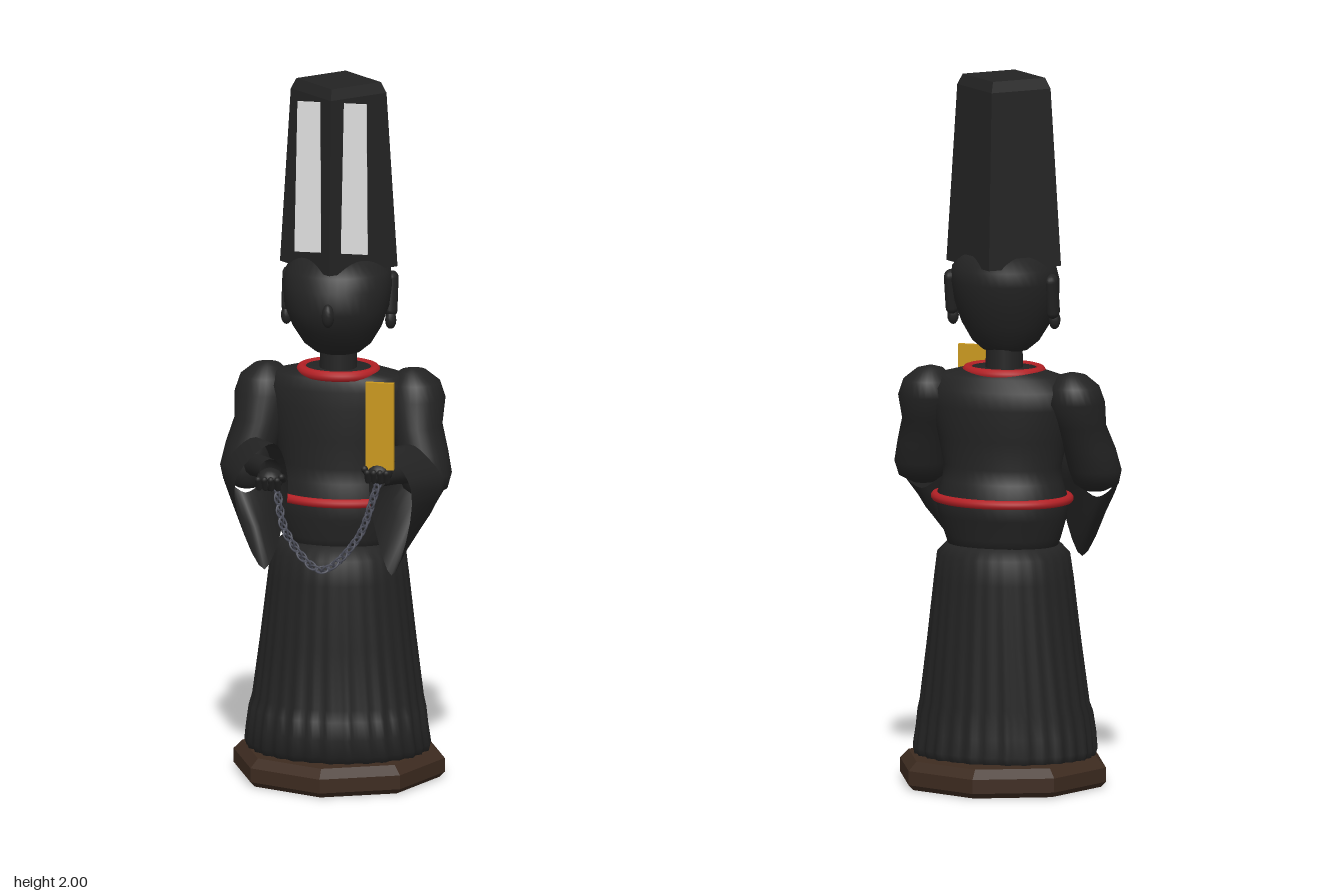
import * as THREE from 'three';

const paint = (name, color, side = THREE.FrontSide) => {
  const m = new THREE.MeshStandardMaterial({ color, side });
  m.name = name;
  return m;
};

// Skin a list of closed loops of points; optionally close both ends.
function loft(rings, caps = true) {
  const n = rings[0].length, pos = [], idx = [];
  rings.forEach(r => r.forEach(p => pos.push(p.x, p.y, p.z)));
  for (let i = 0; i < rings.length - 1; i++) {
    for (let j = 0; j < n; j++) {
      const a = i * n + j, b = i * n + (j + 1) % n;
      idx.push(a, b, a + n, b, b + n, a + n);
    }
  }
  if (caps) {
    [0, rings.length - 1].forEach((k, end) => {
      const c = new THREE.Vector3();
      rings[k].forEach(p => c.addScaledVector(p, 1 / n));
      const ci = pos.length / 3;
      pos.push(c.x, c.y, c.z);
      for (let j = 0; j < n; j++) {
        const a = k * n + j, b = k * n + (j + 1) % n;
        end ? idx.push(ci, a, b) : idx.push(ci, b, a);
      }
    });
  }
  const g = new THREE.BufferGeometry();
  g.setAttribute('position', new THREE.Float32BufferAttribute(pos, 3));
  g.setIndex(idx);
  g.computeVertexNormals();
  return g;
}

// Horizontal ellipse sections [y, rx, rz, centreZ, centreX], with optional pleats.
function body(sections, n = 40, pleat = () => 0) {
  return loft(sections.map(([y, rx, rz, cz = 0, cx = 0]) =>
    Array.from({ length: n }, (_, j) => {
      const a = j / n * Math.PI * 2, d = pleat(a, y);
      return new THREE.Vector3(cx + (rx + d) * Math.sin(a), y, cz + (rz + d) * Math.cos(a));
    })));
}

function faceted(g) {
  const f = g.toNonIndexed();
  f.computeVertexNormals();
  return f;
}

export function createModel() {
  const black = paint('black cloth', 0x232323, THREE.DoubleSide);
  const red = paint('red trim', 0xb22025);
  const brown = paint('brown base', 0x3d2b20);
  const gold = paint('gold', 0xc9981e);
  const white = paint('white panel', 0xdadada, THREE.DoubleSide);
  const steel = paint('chain steel', 0x4c4e5a);

  const model = new THREE.Group();
  const add = (name, geo, mat, parent = model) => {
    const m = new THREE.Mesh(geo, mat);
    m.name = name;
    parent.add(m);
    return m;
  };

  // Octagonal base
  add('base', faceted(body([[0, 0.285, 0.285], [0.015, 0.3, 0.3], [0.055, 0.3, 0.3], [0.08, 0.275, 0.275]], 8)), brown);

  // Pleated skirt with a gathered hem
  add('skirt', body([
    [0.07, 0.25, 0.2, 0.01], [0.1, 0.258, 0.212, 0.017], [0.15, 0.252, 0.211, 0.024], [0.2, 0.246, 0.203, 0.02],
    [0.23, 0.238, 0.193, 0.013], [0.4, 0.217, 0.182, 0.01], [0.58, 0.197, 0.171, 0.008],
    [0.65, 0.188, 0.163, 0.005], [0.675, 0.165, 0.14, 0.005], [0.69, 0.12, 0.1, 0.005],
  ], 144, (a, y) => (0.0055 * Math.sin(a * 30) + 0.002 * Math.sin(a * 13)) * Math.max(0, 1 - y / 0.7)), black);

  // Torso, nipped above the waist
  add('torso', body([
    [0.66, 0.15, 0.12, 0], [0.7, 0.165, 0.125, 0], [0.76, 0.183, 0.14, -0.005], [0.81, 0.188, 0.147, -0.01],
    [0.86, 0.172, 0.122, -0.005], [0.9, 0.168, 0.112, -0.005], [0.98, 0.185, 0.115, -0.005],
    [1.07, 0.205, 0.117, -0.012], [1.12, 0.21, 0.11, -0.01], [1.155, 0.18, 0.095, -0.002], [1.175, 0.1, 0.075, 0.005],
  ]), black);

  // Red belt and collar
  const hoop = (name, y, rx, rz, cz, t) => {
    const pts = Array.from({ length: 24 }, (_, i) => {
      const a = i / 24 * Math.PI * 2;
      return new THREE.Vector3(rx * Math.cos(a), y, cz + rz * Math.sin(a));
    });
    add(name, new THREE.TubeGeometry(new THREE.CatmullRomCurve3(pts, true), 72, t, 10, true), red);
  };
  hoop('belt', 0.81, 0.19, 0.145, -0.008, 0.013);
  hoop('collar', 1.166, 0.103, 0.085, 0.01, 0.015);

  // Neck and head
  add('neck', new THREE.CylinderGeometry(0.05, 0.054, 0.13, 24), black).position.set(0, 1.195, 0.012);
  add('head', body([
    [1.215, 0.03, 0.03, 0.02], [1.225, 0.065, 0.055, 0.022], [1.25, 0.095, 0.083, 0.025], [1.3, 0.125, 0.115, 0.03],
    [1.36, 0.147, 0.143, 0.034], [1.42, 0.153, 0.143, 0.02], [1.46, 0.147, 0.133, 0.01], [1.5, 0.115, 0.105, 0.005],
  ]), black);
  const nose = add('nose', new THREE.SphereGeometry(1, 14, 10), black);
  nose.scale.set(0.018, 0.034, 0.022);
  nose.position.set(0, 1.36, 0.17);

  // Tall four-sided hat with two front panels
  add('hat', faceted(body([
    [1.47, 0.167, 0.145, 0.006], [1.97, 0.136, 0.12, 0.008], [2, 0.12, 0.106, 0.008],
  ], 4)), black);
  for (const s of [-1, 1]) {
    const panel = new THREE.BoxGeometry(0.07, 0.43, 0.006);
    const p = panel.attributes.position;
    for (let i = 0; i < p.count; i++) p.setX(i, p.getX(i) * (1 - p.getY(i) * 0.4));
    panel.computeVertexNormals();
    const m = add('hatPanel', panel, white);
    m.position.set(s * 0.066, 1.745, 0.115);
    m.rotation.x = -0.035;
  }

  // One ear, arm, sleeve and hand for each side
  const v = (x, y, z) => new THREE.Vector3(x, y, z);
  for (const s of [1, -1]) {
    const side = new THREE.Group();
    side.name = s > 0 ? 'leftSide' : 'rightSide';
    model.add(side);
    // Mirrored loops keep their winding by reversing the point order.
    const mirror = rings => rings.map(r => {
      const q = r.map(p => v(p.x * s, p.y, p.z));
      return s > 0 ? q : q.reverse();
    });

    const ear = add('ear', new THREE.CapsuleGeometry(0.02, 0.09, 6, 12), black, side);
    ear.scale.set(0.9, 1, 1.3);
    ear.position.set(s * 0.147, 1.385, -0.012);
    ear.rotation.x = -0.2;
    const lobe = add('earLobe', new THREE.SphereGeometry(0.02, 12, 8), black, side);
    lobe.scale.set(0.8, 1.3, 1);
    lobe.position.set(s * 0.148, 1.315, 0.008);

    add('upperArm', body([
      [0.83, 0.03, 0.03, 0.06, s * 0.25], [0.85, 0.063, 0.06, 0.055, s * 0.255], [0.89, 0.074, 0.075, 0.048, s * 0.254],
      [0.95, 0.073, 0.076, 0.035, s * 0.242], [1.02, 0.072, 0.077, 0.01, s * 0.222], [1.09, 0.083, 0.085, -0.015, s * 0.215],
      [1.135, 0.07, 0.07, -0.017, s * 0.213], [1.165, 0.038, 0.04, -0.016, s * 0.208], [1.173, 0.01, 0.01, -0.016, s * 0.206],
    ], 28), black, side);

    // Bell sleeve: top, outer, bottom and inner points of each section
    const bell = [
      [v(0.25, 0.96, 0.03), v(0.325, 0.88, 0.045), v(0.255, 0.81, 0.06), v(0.19, 0.88, 0.05)],
      [v(0.215, 0.985, 0.11), v(0.31, 0.88, 0.105), v(0.22, 0.72, 0.1), v(0.155, 0.87, 0.1)],
      [v(0.15, 0.99, 0.19), v(0.25, 0.89, 0.245), v(0.18, 0.62, 0.17), v(0.115, 0.86, 0.16)],
    ].map(k => new THREE.CatmullRomCurve3(k, true).getPoints(24).slice(0, 24));
    add('sleeve', loft(mirror(bell), false), black, side);

    const forearm = new THREE.CatmullRomCurve3([v(s * 0.25, 0.89, 0.05), v(s * 0.2, 0.91, 0.14), v(s * 0.155, 0.92, 0.22)]);
    add('forearm', new THREE.TubeGeometry(forearm, 10, 0.032, 12), black, side);

    // Fist with curled fingers
    const hand = new THREE.Group();
    hand.name = 'hand';
    hand.position.set(s * 0.155, s > 0 ? 0.93 : 0.895, 0.222);
    side.add(hand);
    add('palm', new THREE.SphereGeometry(0.036, 16, 12), black, hand).scale.set(1.05, 0.9, 1);
    for (let i = 0; i < 4; i++) {
      const f = add('finger', new THREE.CapsuleGeometry(0.009, 0.03, 4, 8), black, hand);
      f.position.set((i - 1.5) * 0.018, -0.006, 0.03);
      f.rotation.x = 0.5;
    }
    const thumb = add('thumb', new THREE.CapsuleGeometry(0.01, 0.03, 4, 8), black, hand);
    thumb.position.set(-s * 0.037, 0.008, 0.012);
    thumb.rotation.set(1.1, 0, 0);
  }

  // Upright gold tablet in the left hand
  add('tablet', new THREE.BoxGeometry(0.08, 0.25, 0.014), gold).position.set(0.16, 1.068, 0.237);

  // Hanging chain of alternating links
  const chain = new THREE.Group();
  chain.name = 'chain';
  model.add(chain);
  const path = new THREE.CatmullRomCurve3([
    v(-0.135, 0.88, 0.235), v(-0.1, 0.75, 0.26), v(0, 0.655, 0.277), v(0.1, 0.745, 0.265), v(0.155, 0.9, 0.24),
  ]);
  const link = new THREE.TorusGeometry(0.013, 0.003, 6, 14).scale(1.3, 0.9, 1);
  const count = 34;
  for (let i = 0; i < count; i++) {
    const u = i / (count - 1), m = add('link', link, steel, chain);
    m.position.copy(path.getPointAt(u));
    m.quaternion.setFromUnitVectors(v(1, 0, 0), path.getTangentAt(u));
    m.rotateX(i % 2 ? 0.7 : -0.9);
  }
  return model;
}
